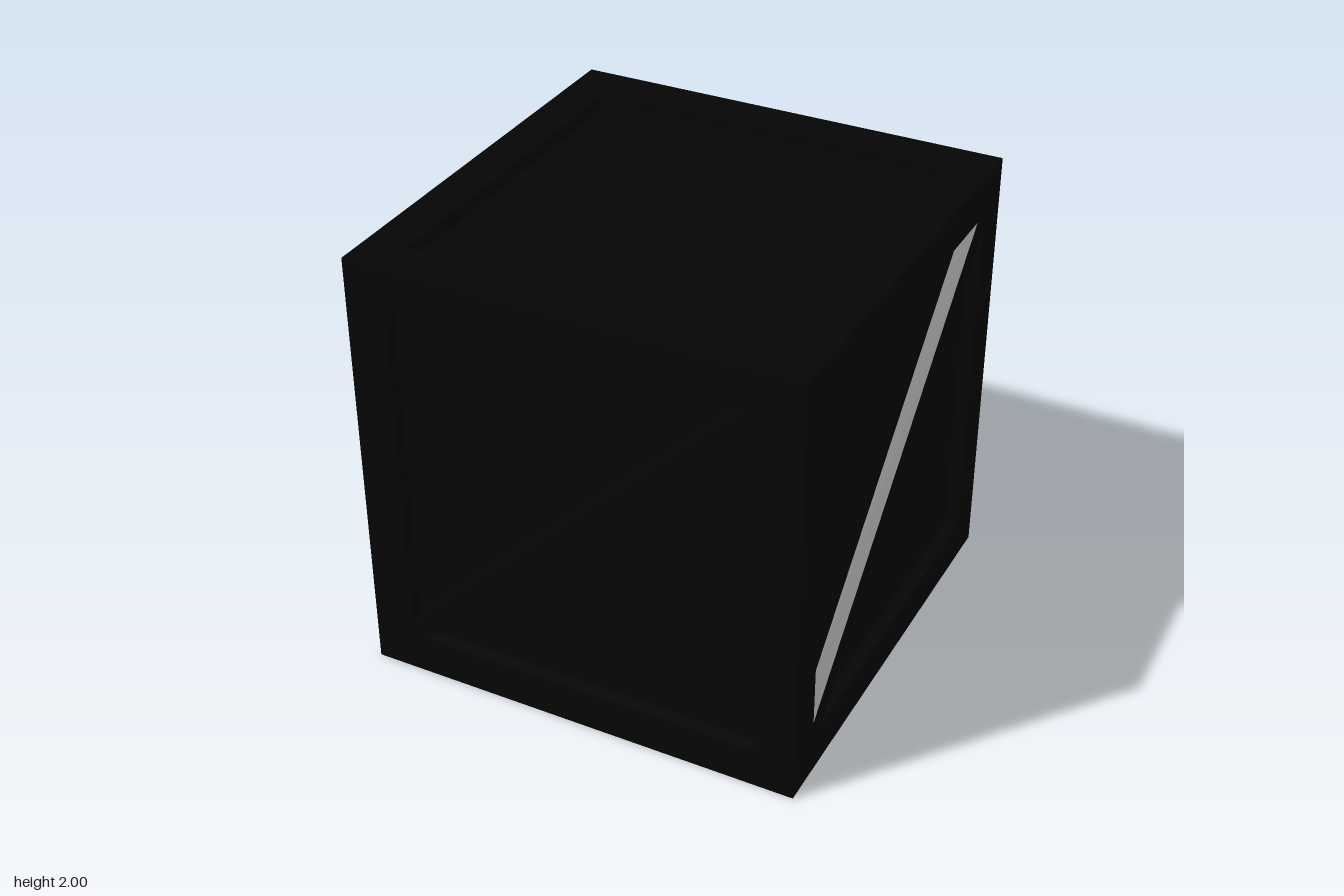
import * as THREE from 'three';

const HALF = 1;        // half the crate's side
const DEPTH = 0.06;    // how far the panels sit behind the frame
const INNER = 0.815;   // inner edge of the frame
const BRACE = 0.075;   // offset of the brace's edges from the diagonal

// Square frame with a diagonal brace, left by two triangular openings
function frameGeometry() {
  const polygon = (pts) => pts.map(([x, y]) => new THREE.Vector2(x, y));
  const shape = new THREE.Shape(polygon([[-HALF, -HALF], [HALF, -HALF], [HALF, HALF], [-HALF, HALF]]));
  for (const s of [1, -1]) {
    shape.holes.push(new THREE.Path(polygon([
      [-s * INNER, s * INNER],
      [s * (INNER - BRACE), s * INNER],
      [-s * INNER, -s * (INNER - BRACE)],
    ])));
  }
  const geo = new THREE.ExtrudeGeometry(shape, { depth: DEPTH, bevelEnabled: false });
  geo.translate(0, 0, HALF - DEPTH);

  // Mitre the outer rim so that neighbouring frames meet cleanly
  const p = geo.attributes.position;
  for (let i = 0; i < p.count; i++) {
    if (p.getZ(i) > HALF - DEPTH / 2 || Math.abs(p.getX(i)) < 0.99) continue;
    p.setX(i, Math.sign(p.getX(i)) * (HALF - DEPTH));
    p.setY(i, Math.sign(p.getY(i)) * (HALF - DEPTH));
  }
  geo.computeVertexNormals();
  return geo;
}

export function createModel() {
  const crate = new THREE.Group();
  crate.name = 'crate';
  const material = new THREE.MeshStandardMaterial({ color: 0x050505 });

  // Recessed panels
  const core = 2 * (HALF - DEPTH);
  const panels = new THREE.Mesh(new THREE.BoxGeometry(core, core, core), material);
  panels.name = 'panels';
  panels.position.y = HALF;
  crate.add(panels);

  // One braced frame on each of the six sides
  const q = Math.PI / 2;
  const sides = {
    frontFrame: [0, 0, 0],
    rightFrame: [0, q, 0],
    backFrame: [0, 2 * q, 0],
    leftFrame: [0, -q, 0],
    topFrame: [-q, 0, q],
    bottomFrame: [q, 0, 0],
  };
  const geometry = frameGeometry();
  for (const [name, rotation] of Object.entries(sides)) {
    const frame = new THREE.Mesh(geometry, material);
    frame.name = name;
    frame.rotation.set(...rotation);
    frame.position.y = HALF;
    crate.add(frame);
  }
  return crate;
}
